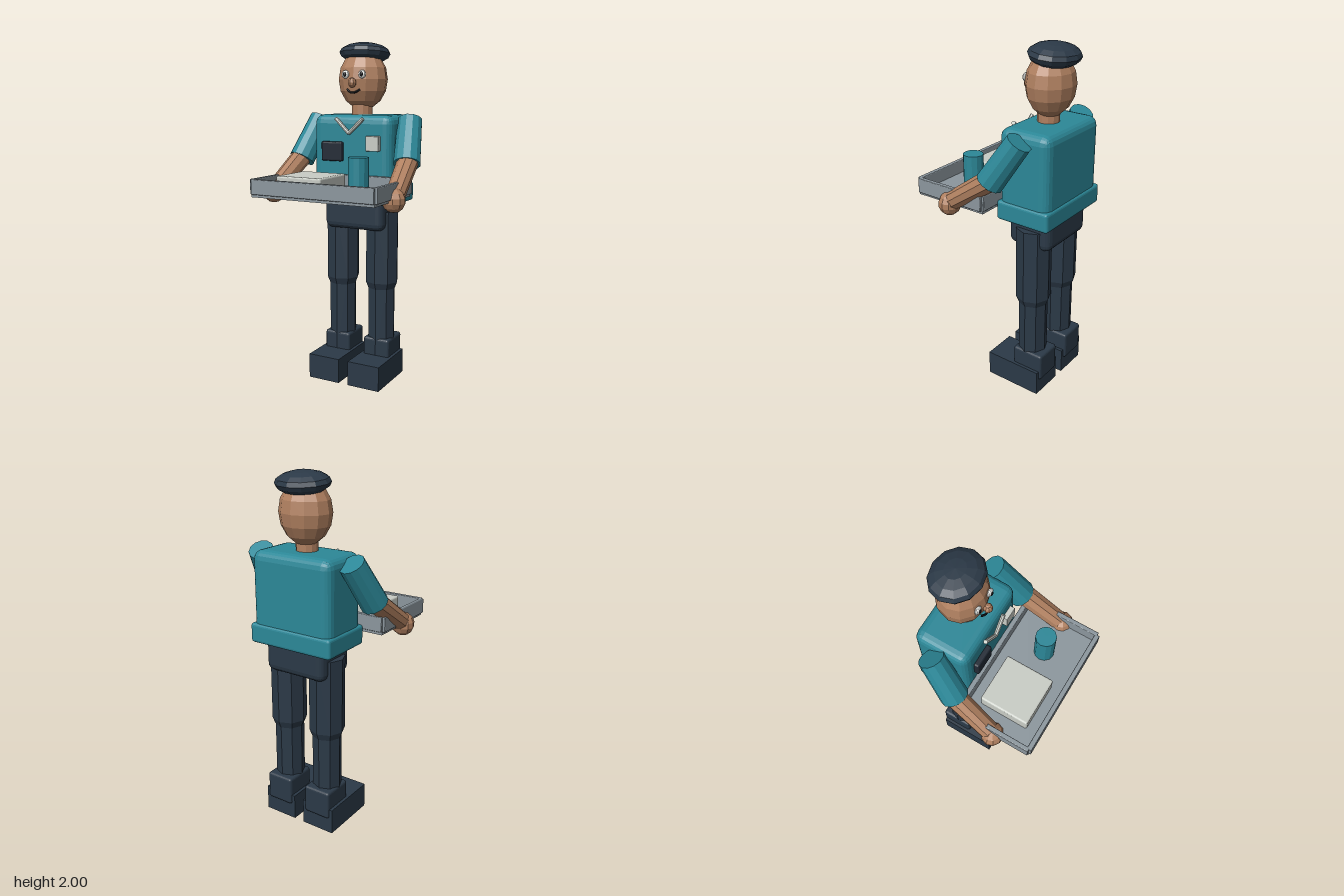
import * as THREE from 'three';
import { RoundedBoxGeometry } from 'three/addons/geometries/RoundedBoxGeometry.js';

const mat = (name, color, flatShading = true) => {
  const m = new THREE.MeshStandardMaterial({ color, flatShading });
  m.name = name;
  return m;
};

export function createModel() {
  const model = new THREE.Group();
  model.name = 'trayCarrier';
  const teal = mat('teal shirt', 0x2c8898);
  const navy = mat('dark navy', 0x2b3947);
  const pocketNavy = mat('black navy', 0x222a35);
  const skin = mat('skin', 0xb08060);
  const gray = mat('tray gray', 0x8c979e);
  const paper = mat('paper white', 0xc9cdc6);
  const white = mat('eye white', 0xe4e6e2);
  const black = mat('black', 0x15171b);

  const add = (name, geo, material, x = 0, y = 0, z = 0) => {
    const m = new THREE.Mesh(geo, material);
    m.name = name;
    m.position.set(x, y, z);
    model.add(m);
    return m;
  };
  // Box given by its min and max on each axis; r > 0 rounds the edges
  const box = (name, material, [x0, x1], [y0, y1], [z0, z1], r = 0) => {
    const s = [x1 - x0, y1 - y0, z1 - z0];
    const geo = r ? new RoundedBoxGeometry(...s, 2, r) : new THREE.BoxGeometry(...s);
    return add(name, geo, material, (x0 + x1) / 2, (y0 + y1) / 2, (z0 + z1) / 2);
  };
  // Cylinder running from point a to point b
  const rod = (name, material, a, b, ra, rb, sides) => {
    const A = new THREE.Vector3(...a), B = new THREE.Vector3(...b);
    const d = B.clone().sub(A);
    const m = add(name, new THREE.CylinderGeometry(rb, ra, d.length(), sides), material);
    m.position.copy(A).add(B).multiplyScalar(0.5);
    m.quaternion.setFromUnitVectors(new THREE.Vector3(0, 1, 0), d.normalize());
    return m;
  };
  const ball = (name, material, [x, y, z], [rx, ry, rz], w = 12, h = 8) => {
    const m = add(name, new THREE.SphereGeometry(1, w, h), material, x, y, z);
    m.scale.set(rx, ry, rz);
    return m;
  };

  // Body
  box('torso', teal, [-0.25, 0.25], [1.1, 1.59], [-0.38, -0.07], 0.05);
  box('shirtHem', teal, [-0.26, 0.26], [1.08, 1.19], [-0.39, -0.065], 0.016);
  box('hips', navy, [-0.19, 0.19], [0.92, 1.12], [-0.355, -0.09], 0.04);

  // Head
  add('neck', new THREE.CylinderGeometry(0.06, 0.06, 0.12, 12), skin, 0, 1.62, -0.215);
  ball('head', skin, [0, 1.79, -0.225], [0.147, 0.173, 0.13], 12, 8);
  const beret = ball('beret', navy, [0, 1.94, -0.245], [0.152, 0.06, 0.136], 12, 8);
  beret.rotation.x = -0.1;
  ball('nose', skin, [0, 1.77, -0.085], [0.025, 0.028, 0.025], 8, 6);
  const mouth = new THREE.QuadraticBezierCurve3(
    new THREE.Vector3(-0.04, 1.733, -0.105), new THREE.Vector3(0, 1.695, -0.075),
    new THREE.Vector3(0.04, 1.733, -0.105));
  add('mouth', new THREE.TubeGeometry(mouth, 8, 0.006, 6), black);

  // Shirt details
  box('chestPocket', pocketNavy, [-0.18, -0.045], [1.325, 1.437], [-0.075, -0.042], 0.01);
  box('badge', paper, [0.108, 0.188], [1.39, 1.475], [-0.075, -0.042], 0.004);

  for (const s of [-1, 1]) {
    // Face and collar
    ball('eye', white, [s * 0.053, 1.817, -0.106], [0.024, 0.024, 0.013], 10, 8);
    ball('pupil', black, [s * 0.053, 1.817, -0.095], [0.011, 0.014, 0.006], 8, 6);
    rod('collar', paper, [0, 1.487, -0.047], [s * 0.086, 1.57, -0.052], 0.012, 0.012, 8);
    box('hemPocket', teal, [s * 0.145 - 0.07, s * 0.145 + 0.07], [1.13, 1.24], [-0.075, -0.045], 0.008);

    // Arm
    rod('sleeve', teal, [s * 0.293, 1.56, -0.24], [s * 0.342, 1.325, -0.09], 0.07, 0.077, 12);
    rod('forearm', skin, [s * 0.345, 1.345, -0.105], [s * 0.376, 1.168, 0.15], 0.06, 0.053, 10);
    ball('hand', skin, [s * 0.378, 1.157, 0.157], [0.066, 0.066, 0.062], 10, 7);

    // Leg: thigh with a tapered knee, shin, ankle and boot
    const thigh = [[0, 0.56], [0.084, 0.56], [0.1, 0.6], [0.1, 1.03], [0, 1.03]];
    add('thigh', new THREE.LatheGeometry(thigh.map(p => new THREE.Vector2(...p)), 8), navy, s * 0.132, 0, -0.225);
    add('shin', new THREE.CylinderGeometry(0.083, 0.083, 0.46, 8), navy, s * 0.132, 0.36, -0.225);
    box('ankle', navy, [s * 0.132 - 0.083, s * 0.132 + 0.083], [0.09, 0.255], [-0.337, -0.145], 0.015);
    box('boot', navy, [s * 0.132 - 0.101, s * 0.132 + 0.101], [0, 0.148], [-0.325, 0.022]);
  }

  // Tray with its rails and load
  box('trayFloor', gray, [-0.375, 0.375], [1.15, 1.175], [-0.065, 0.38]);
  box('trayFrontRail', gray, [-0.374, 0.374], [1.165, 1.25], [0.362, 0.39], 0.005);
  box('trayBackRail', gray, [-0.374, 0.374], [1.165, 1.25], [-0.072, -0.044], 0.005);
  for (const s of [-1, 1])
    box('traySideRail', gray, [s * 0.376 - 0.013, s * 0.376 + 0.013], [1.165, 1.25], [-0.06, 0.376], 0.005);
  box('paperBox', paper, [-0.268, 0.014], [1.17, 1.265], [0.018, 0.3], 0.01);
  add('cup', new THREE.CylinderGeometry(0.057, 0.057, 0.205, 12), teal, 0.17, 1.273, 0.16);

  return model;
}
